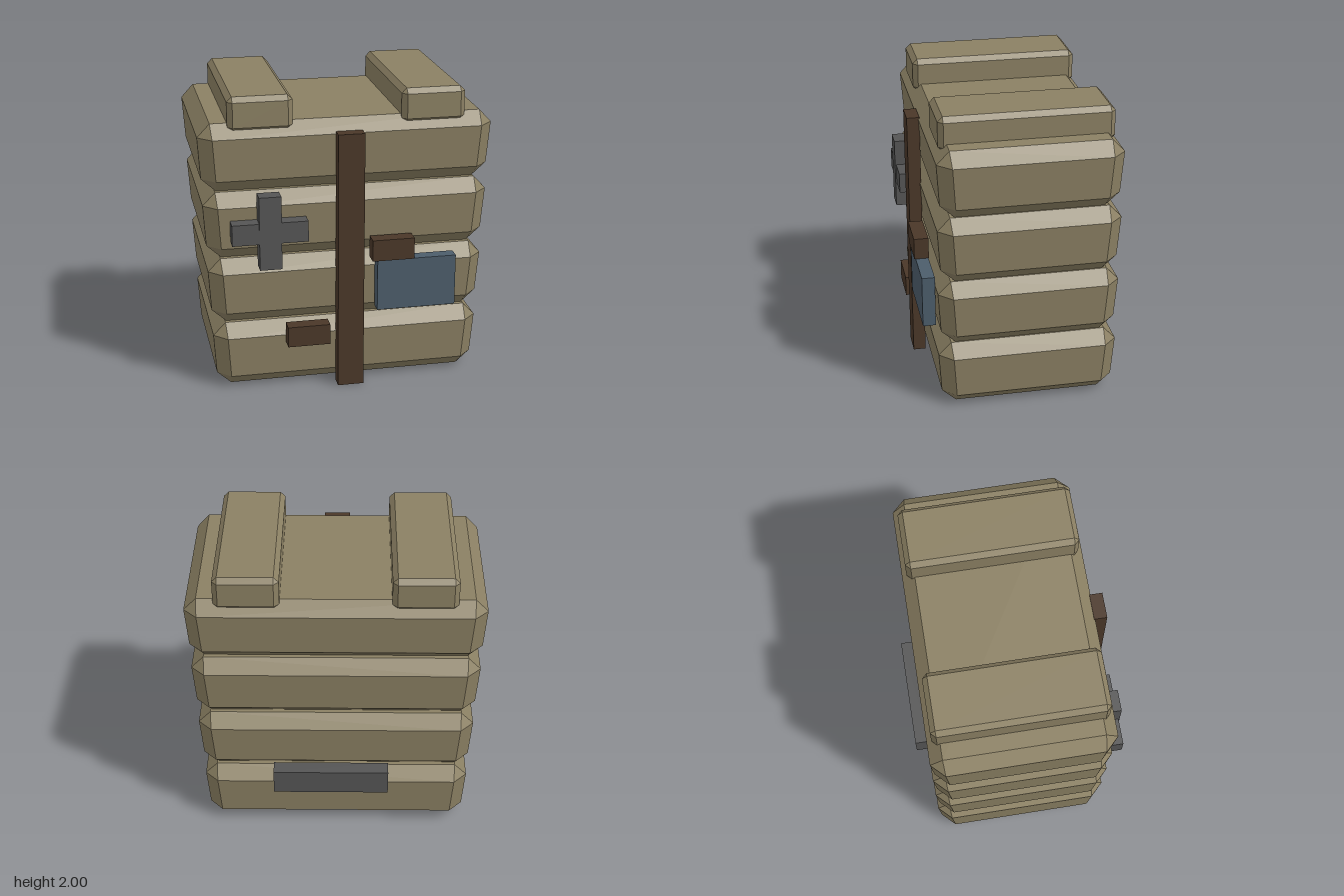
import * as THREE from 'three';
import { ConvexGeometry } from 'three/addons/geometries/ConvexGeometry.js';

const material = (name, color) => {
  const m = new THREE.MeshStandardMaterial({ color });
  m.name = name;
  return m;
};

// Box with chamfered edges and corners; flare widens it towards the top
function chamferBox(hx, hy, hz, c, flare = 0) {
  const points = [];
  for (const sx of [-1, 1]) for (const sy of [-1, 1]) for (const sz of [-1, 1]) {
    for (const [ix, iy, iz] of [[0, c, c], [c, 0, c], [c, c, 0]]) {
      const y = sy * (hy - iy);
      points.push(new THREE.Vector3(
        sx * (hx - ix + flare * y), y, sz * (hz - iz + flare * y)));
    }
  }
  return new ConvexGeometry(points);
}

export function createModel() {
  const group = new THREE.Group();
  const canvas = material('tan canvas', 0x8b8063);
  const leather = material('brown leather', 0x4a3728);
  const metal = material('grey metal', 0x555555);
  const cloth = material('blue cloth', 0x4c5d6b);

  const add = (name, geometry, mat, x, y, z) => {
    const mesh = new THREE.Mesh(geometry, mat);
    mesh.name = name;
    mesh.position.set(x, y, z);
    group.add(mesh);
  };
  // Plain box given by its extents
  const block = (name, mat, x0, x1, y0, y1, z0, z1) =>
    add(name, new THREE.BoxGeometry(x1 - x0, y1 - y0, z1 - z0), mat,
      (x0 + x1) / 2, (y0 + y1) / 2, (z0 + z1) / 2);

  // Four stacked, padded sections, each a little wider than the one below
  const tier = 1.828 / 4;
  for (let i = 0; i < 4; i++) {
    add('section' + (i + 1),
      chamferBox(0.89 + i * 0.022, tier / 2, 0.585, 0.088, 0.065),
      canvas, 0, tier * (i + 0.5), -0.006);
  }

  // Two rolls running front to back over the top
  for (const side of [-1, 1]) {
    add(side > 0 ? 'leftRoll' : 'rightRoll',
      chamferBox(0.21, 0.115, 0.563, 0.033), canvas, side * 0.565, 1.885, -0.006);
  }

  // Centre strap and small leather tabs
  block('strap', leather, -0.087, 0.087, 0, 1.755, 0.58, 0.665);
  block('pouchFlap', leather, 0.14, 0.42, 0.885, 1.03, 0.585, 0.682);
  block('lowerTab', leather, -0.425, -0.143, 0.32, 0.46, 0.585, 0.68);

  // Cloth pouch
  block('pouch', cloth, 0.175, 0.705, 0.535, 0.885, 0.588, 0.673);

  // Metal cross and back plate
  block('crossBar', metal, -0.78, -0.285, 1.06, 1.2, 0.59, 0.684);
  block('crossPost', metal, -0.605, -0.46, 0.885, 1.378, 0.59, 0.692);
  block('backPlate', metal, -0.355, 0.42, 0.355, 0.53, -0.692, -0.588);

  return group;
}
